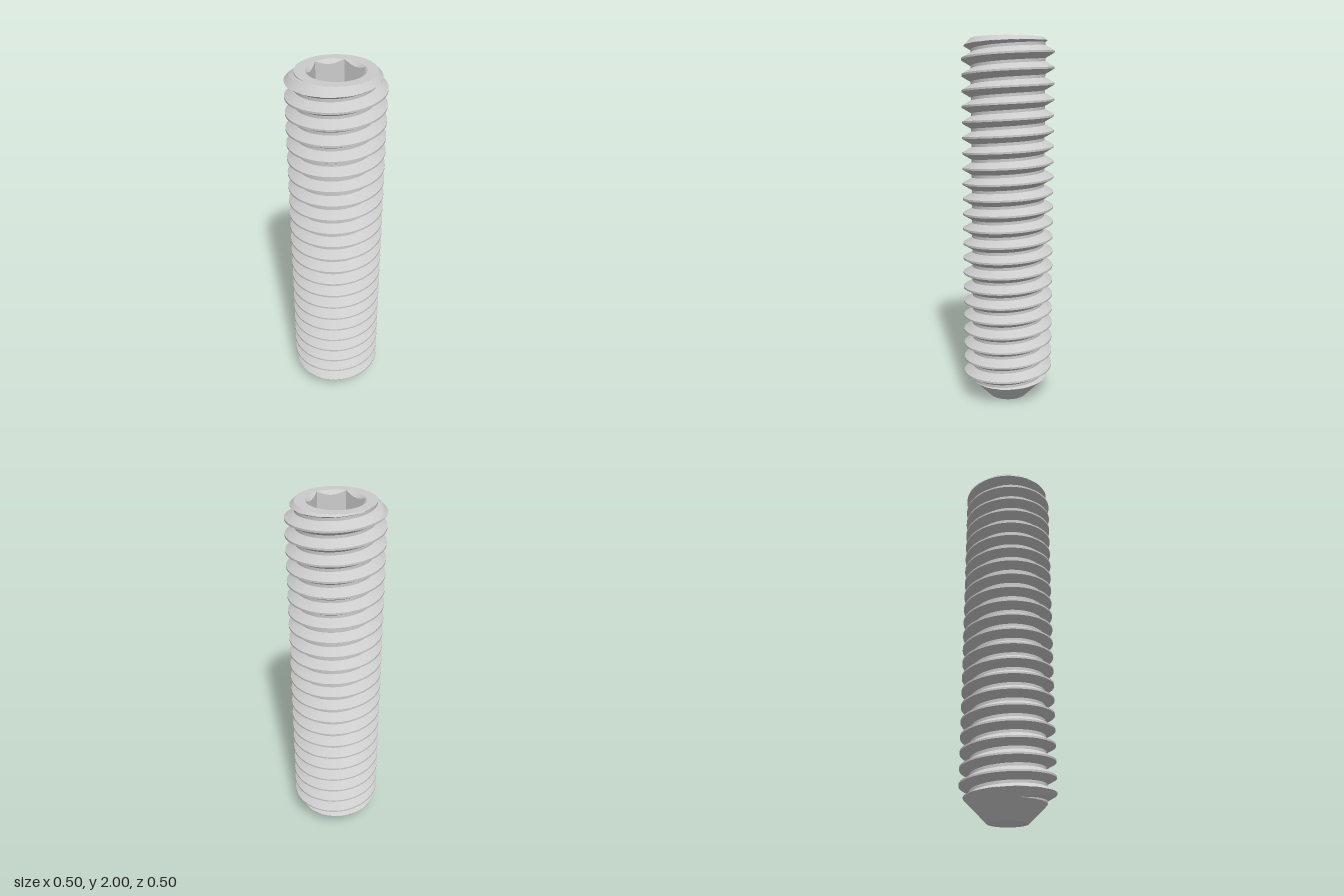
import * as THREE from 'three';
import { toCreasedNormals } from 'three/addons/utils/BufferGeometryUtils.js';

const SEGS = 120, TAU = Math.PI * 2;
const LENGTH = 2, CREST = 0.25, ROOT = 0.2, PITCH = LENGTH / 24;
const TIP = 0.106;                    // radius of the rim at the point
const FLAT = 0.127;                   // half the width across the socket flats
const CORNER = FLAT / Math.cos(Math.PI / 6);
const HALF_CREST = 0.005, HALF_RIDGE = HALF_CREST + (CREST - ROOT) * Math.tan(Math.PI / 6);

// Sweeps a profile, given as rows of [radius, height] per angle, round the y axis.
function sweep(name, rows, profile) {
  const grid = [];
  for (let j = 0; j < rows; j++) {
    const ring = [];
    for (let i = 0; i <= SEGS; i++) {
      const a = (i / SEGS) * TAU, [r, y] = profile(a, j);
      ring.push(new THREE.Vector3(r * Math.cos(a), y, -r * Math.sin(a)));
    }
    grid.push(ring);
  }
  const pos = [], tri = new THREE.Triangle();
  const add = (a, b, c) => {
    if (tri.set(a, b, c).getArea() > 1e-9) pos.push(...a.toArray(), ...b.toArray(), ...c.toArray());
  };
  for (let j = 0; j < rows - 1; j++) {
    for (let i = 0; i < SEGS; i++) {
      const a = grid[j][i], b = grid[j][i + 1], c = grid[j + 1][i + 1], d = grid[j + 1][i];
      add(a, b, c);
      add(a, c, d);
    }
  }
  let geo = new THREE.BufferGeometry();
  geo.setAttribute('position', new THREE.Float32BufferAttribute(pos, 3));
  // creased at a larger scale so that close vertices stay distinct
  geo.scale(100, 100, 100);
  geo = toCreasedNormals(geo, 0.5);
  geo.scale(0.01, 0.01, 0.01);
  const mesh = new THREE.Mesh(geo, new THREE.MeshStandardMaterial({ color: 0xcccccc }));
  mesh.name = name;
  return mesh;
}

// Heights of the helical rows at angle 0, finer where the end chamfers cut the thread
function threadRows() {
  const stops = [-HALF_RIDGE, -HALF_CREST, HALF_CREST, HALF_RIDGE, PITCH - HALF_RIDGE];
  const rows = [];
  for (let k = -2; k <= 24; k++) {
    const sub = k <= 1 || k >= 22 ? 12 : 1;
    for (let s = 0; s < 4; s++) {
      for (let n = 0; n < sub; n++) {
        rows.push(k * PITCH + THREE.MathUtils.lerp(stops[s], stops[s + 1], n / sub));
      }
    }
  }
  return rows;
}

// Radius of the thread at an angle and height, trimmed by both 45 degree chamfers
function threadRadius(a, y) {
  const turns = y / PITCH - a / TAU;
  const d = Math.abs(turns - Math.round(turns)) * PITCH;
  const slope = (CREST - ROOT) / (HALF_RIDGE - HALF_CREST);
  const r = THREE.MathUtils.clamp(CREST - (d - HALF_CREST) * slope, ROOT, CREST);
  return Math.min(r, TIP + y, ROOT + LENGTH - y);
}

function hexRadius(a) {
  return FLAT / Math.cos((a % (Math.PI / 3)) - Math.PI / 6);
}

export function createModel() {
  const group = new THREE.Group();
  group.name = 'setScrew';

  // Threaded shank with chamfered ends
  const rows = threadRows();
  group.add(sweep('threadedShank', rows.length, (a, j) => {
    const y = THREE.MathUtils.clamp(rows[j] + (PITCH * a) / TAU, 0, LENGTH);
    return [threadRadius(a, y), y];
  }));

  // Conical hollow in the point
  group.add(sweep('cupPoint', 2, (a, j) => (j ? [TIP, 0] : [0, 0.064])));

  // Flat ring round the socket
  group.add(sweep('topFace', 2, (a, j) => [j ? CORNER : ROOT, LENGTH]));

  // Hexagonal socket with a countersunk mouth
  const floor = LENGTH - 0.25;
  group.add(sweep('hexSocket', 4, (a, j) => {
    const r = hexRadius(a);
    return [
      [CORNER, LENGTH],
      [r, LENGTH - (CORNER - r)],
      [r, floor],
      [0, floor],
    ][j];
  }));

  return group;
}
